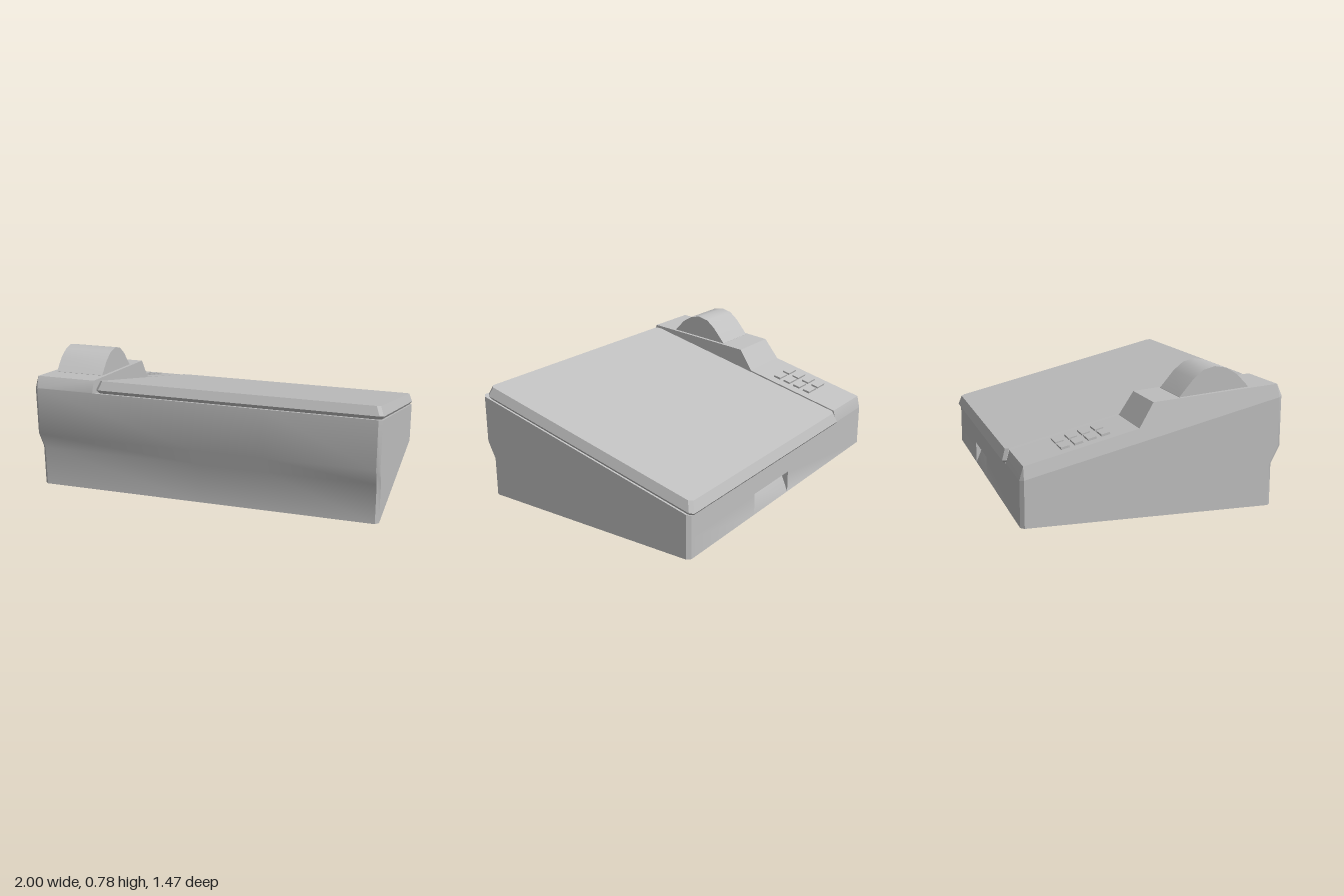
import * as THREE from 'three';
import { toCreasedNormals } from 'three/addons/utils/BufferGeometryUtils.js';

// Height of the sloping seam between the case and its top
const seam = (z) => 0.4275 + 0.2465 * z;

// Closed skin through rings of [x, y, z] points, anticlockwise seen from the last ring's end
function loft(rings) {
  const pos = [];
  const a = new THREE.Vector3(), b = new THREE.Vector3(), c = new THREE.Vector3();
  const tri = (p, q, r) => {
    a.set(...p); b.set(...q).sub(a); c.set(...r).sub(a);
    if (b.cross(c).length() > 1e-9) pos.push(...p, ...q, ...r);
  };
  const n = rings[0].length;
  for (let i = 0; i < rings.length - 1; i++) {
    const lo = rings[i], hi = rings[i + 1];
    for (let j = 0; j < n; j++) {
      const k = (j + 1) % n;
      tri(lo[j], lo[k], hi[k]);
      tri(lo[j], hi[k], hi[j]);
    }
  }
  const first = rings[0], last = rings[rings.length - 1];
  for (let j = 1; j < n - 1; j++) {
    tri(first[0], first[j + 1], first[j]);
    tri(last[0], last[j], last[j + 1]);
  }
  const g = new THREE.BufferGeometry();
  g.setAttribute('position', new THREE.Float32BufferAttribute(pos, 3));
  return toCreasedNormals(g, 0.55);
}

// Side profile of the case; inset trims front and back, recess hollows the rear finger grip
function caseRing(x, inset, recess) {
  const back = -0.72 + inset, front = 0.735 - inset;
  return [
    [back, 0], [back + recess, 0.12], [back, 0.13], [back, seam(back)],
    [front, seam(front)], [front, 0.33], [front - 0.05, 0.23], [front - 0.05, 0],
  ].map(([z, y]) => [x, y, z]);
}

// Rectangle with cut corners, lying on the slope
function lidRing(inset, lift) {
  const x0 = -0.635 + inset, x1 = 1 - inset, z0 = -0.737 + inset, z1 = 0.702 - inset, c = 0.02;
  return [
    [x1 - c, z1], [x1, z1 - c], [x1, z0 + c], [x1 - c, z0],
    [x0 + c, z0], [x0, z0 + c], [x0, z1 - c], [x0 + c, z1],
  ].map(([x, z]) => [x, seam(z) + lift, z]);
}

export function createModel() {
  const group = new THREE.Group();
  const grey = new THREE.MeshStandardMaterial({ color: 0xc0c0c0 });
  grey.name = 'light grey';
  const add = (name, geometry, parent = group) => {
    const mesh = new THREE.Mesh(geometry, grey);
    mesh.name = name;
    parent.add(mesh);
    return mesh;
  };

  // Wedge-shaped case with bevelled corners and a grip in the back
  add('case', loft([
    [-1, 0.02, 0], [-0.98, 0, 0], [-0.02, 0, 0], [-0.02, 0, 0.05],
    [0.36, 0, 0.05], [0.36, 0, 0], [0.98, 0, 0], [1, 0.02, 0],
  ].map((s) => caseRing(...s))));

  // Broad sloping lid
  add('lid', loft([lidRing(0.012, 0), lidRing(0, 0.018), lidRing(0.02, 0.073)]));

  // Control strip with raised printer housing: [outer x, seam z, top z, top y]
  const stations = [
    [-0.98, -0.72, -0.72, seam(-0.72) + 0.002],
    [-1, -0.70, -0.70, 0.325],
    [-1, -0.08, -0.08, 0.48],
    [-1, 0.005, 0.005, 0.61],
    [-1, 0.715, 0.705, 0.675],
    [-0.98, 0.735, 0.735, seam(0.735) + 0.002],
  ];
  add('controlStrip', loft(stations.map(([x, zb, zt, y]) => {
    const outer = x + 0.22 * (y - seam(zt));
    return [[x, seam(zb), zb], [-0.635, seam(zb), zb], [-0.635, y, zt], [outer, y, zt]];
  })));

  // Rounded paper cover standing on the housing
  const arc = [
    [0.55, 0.6], [0.155, 0.58], [0.155, 0.625], [0.235, 0.72], [0.29, 0.765],
    [0.355, 0.782], [0.42, 0.771], [0.485, 0.732], [0.552, 0.662],
  ];
  add('paperCover', loft([-0.945, -0.655].map((x) => arc.map(([z, y]) => [x, y, z]))));

  // Keypad, two columns of four keys
  const keypad = new THREE.Group();
  keypad.name = 'keypad';
  group.add(keypad);
  const keyShape = new THREE.BoxGeometry(0.098, 0.024, 0.047);
  for (const x of [-0.87, -0.75]) {
    for (let row = 0; row < 4; row++) {
      const z = -0.46 + row * 0.073;
      const key = add('key', keyShape, keypad);
      key.position.set(x, 0.325 + 0.25 * (z + 0.7), z);
      key.rotation.x = -Math.atan(0.25);
    }
  }
  return group;
}
